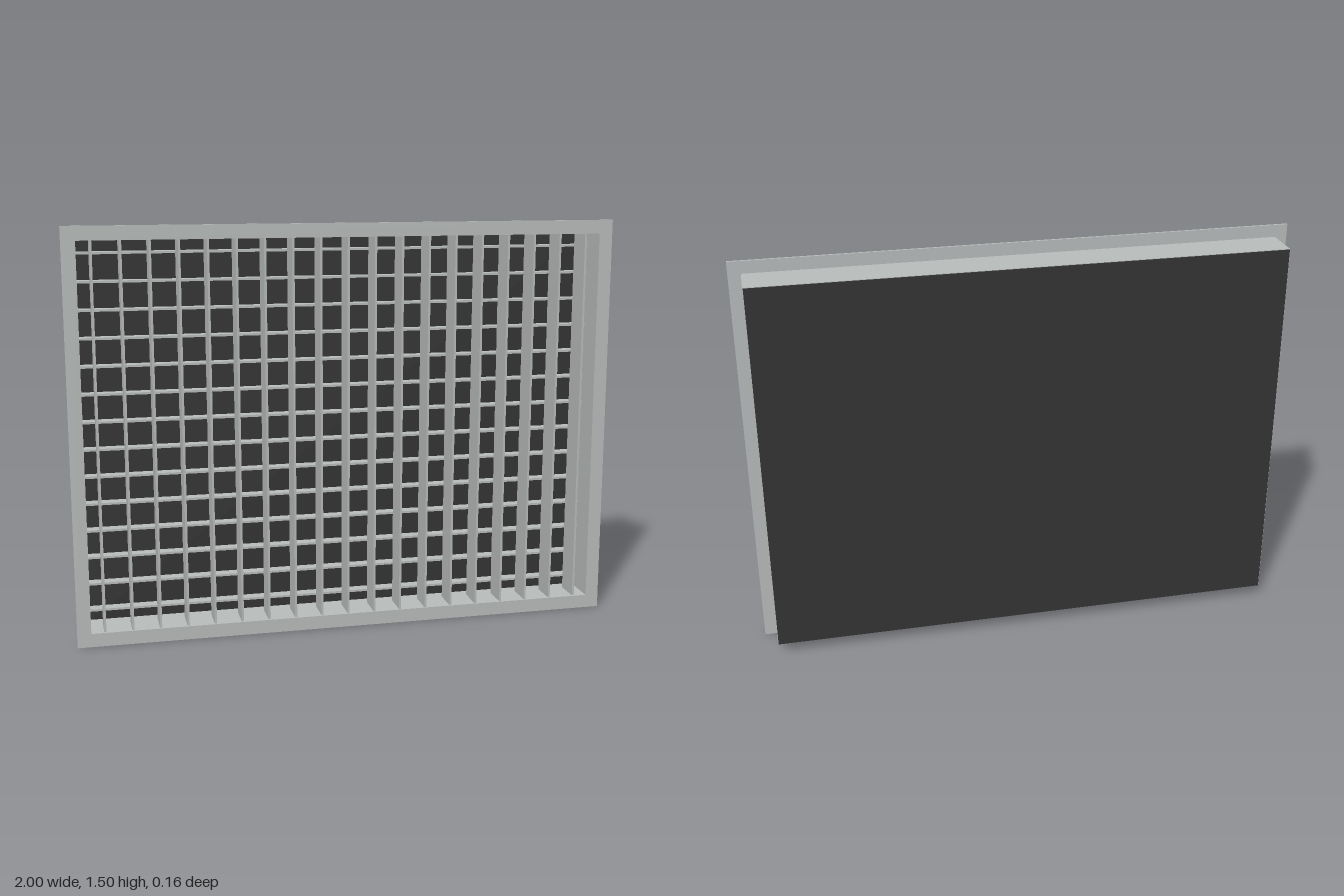
import * as THREE from 'three';

const W = 2, H = 1.5;            // flange size
const IN_W = 1.9, IN_H = 1.4;    // clear opening
const WALL = 0.005, BAR = 0.008; // sheet and blade thickness
const FRONT = 0.0775, BACK = -0.0775, FLANGE = 0.008;

// Rectangular ring extruded from z0 to z1
function ring(w, h, innerW, innerH, z0, z1) {
  const rect = (T, a, b) => new T([
    new THREE.Vector2(-a / 2, -b / 2), new THREE.Vector2(a / 2, -b / 2),
    new THREE.Vector2(a / 2, b / 2), new THREE.Vector2(-a / 2, b / 2),
  ]);
  const shape = rect(THREE.Shape, w, h);
  shape.holes.push(rect(THREE.Path, innerW, innerH));
  return new THREE.ExtrudeGeometry(shape, { depth: z1 - z0, bevelEnabled: false })
    .translate(0, H / 2, z0);
}

export function createModel() {
  const model = new THREE.Group();
  model.name = 'ventGrille';
  const metal = new THREE.MeshStandardMaterial({ color: 0xbabebd });
  metal.name = 'paleGreyMetal';
  const dark = new THREE.MeshStandardMaterial({ color: 0x353535 });
  dark.name = 'darkBacking';

  function add(parent, name, geometry, material, x = 0, y = 0, z = 0) {
    const mesh = new THREE.Mesh(geometry, material);
    mesh.name = name;
    mesh.position.set(x, y, z);
    parent.add(mesh);
  }
  function addGroup(name) {
    const group = new THREE.Group();
    group.name = name;
    model.add(group);
    return group;
  }

  // Front flange and the shallow duct box behind it
  add(model, 'frontFlange', ring(W, H, IN_W, IN_H, FRONT - FLANGE, FRONT), metal);
  add(model, 'ductWalls',
    ring(IN_W + 2 * WALL, IN_H + 2 * WALL, IN_W, IN_H, BACK + 0.003, FRONT - FLANGE), metal);

  // Dark sheet closing the back
  add(model, 'backPanel', new THREE.BoxGeometry(IN_W + 0.006, IN_H + 0.006, 0.005),
    dark, 0, H / 2, BACK + 0.0025);

  // Upright blades in front
  const upright = new THREE.BoxGeometry(BAR, IN_H, 0.1);
  const uprights = addGroup('verticalBlades');
  for (let i = -9; i <= 9; i++) add(uprights, 'verticalBlade', upright, metal, i * 0.1, H / 2, 0.02);

  // Level blades behind them
  const level = new THREE.BoxGeometry(IN_W, BAR, 0.042);
  const levels = addGroup('horizontalBlades');
  for (let i = 1; i <= 14; i++) add(levels, 'horizontalBlade', level, metal, 0, i * 0.1, -0.051);

  return model;
}
